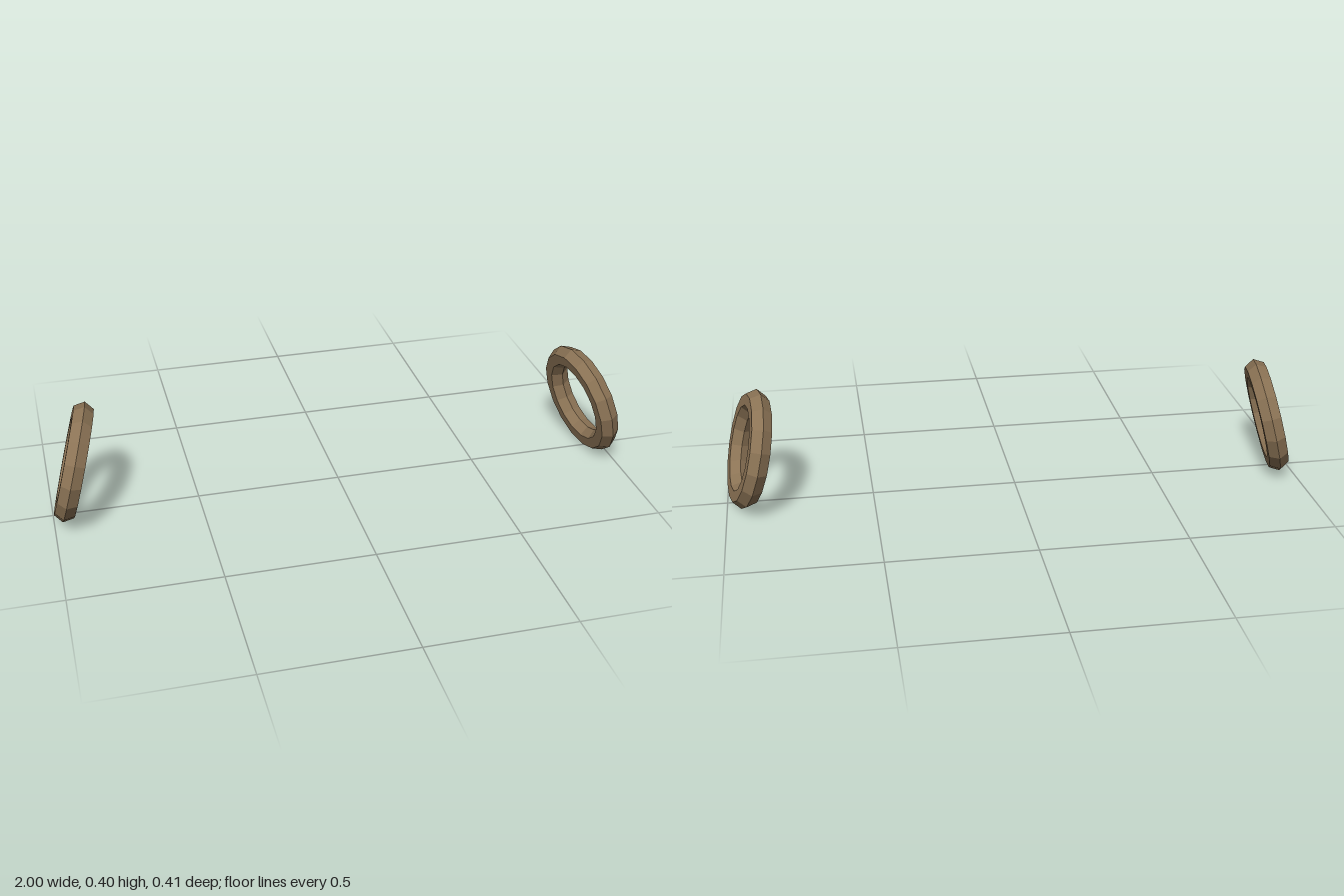
import * as THREE from 'three';

export function createModel() {
  const model = new THREE.Group();
  model.name = 'ringPair';

  const material = new THREE.MeshStandardMaterial({ color: 0x8b7355, flatShading: true });

  // Hexagonal-section ring with 16 segments, its axis turned to x
  const ringGeometry = new THREE.TorusGeometry(0.1665, 0.039, 6, 16);
  ringGeometry.rotateY(Math.PI / 2);

  // Mirrored pair: tops lean inward, front edges flare outward
  for (const [name, side] of [['leftRing', 1], ['rightRing', -1]]) {
    const ring = new THREE.Mesh(ringGeometry, material);
    ring.name = name;
    ring.position.set(side * 0.9125, 0.2, 0);
    ring.rotation.set(-0.065, side * 0.137, side * 0.265);
    model.add(ring);
  }

  return model;
}
